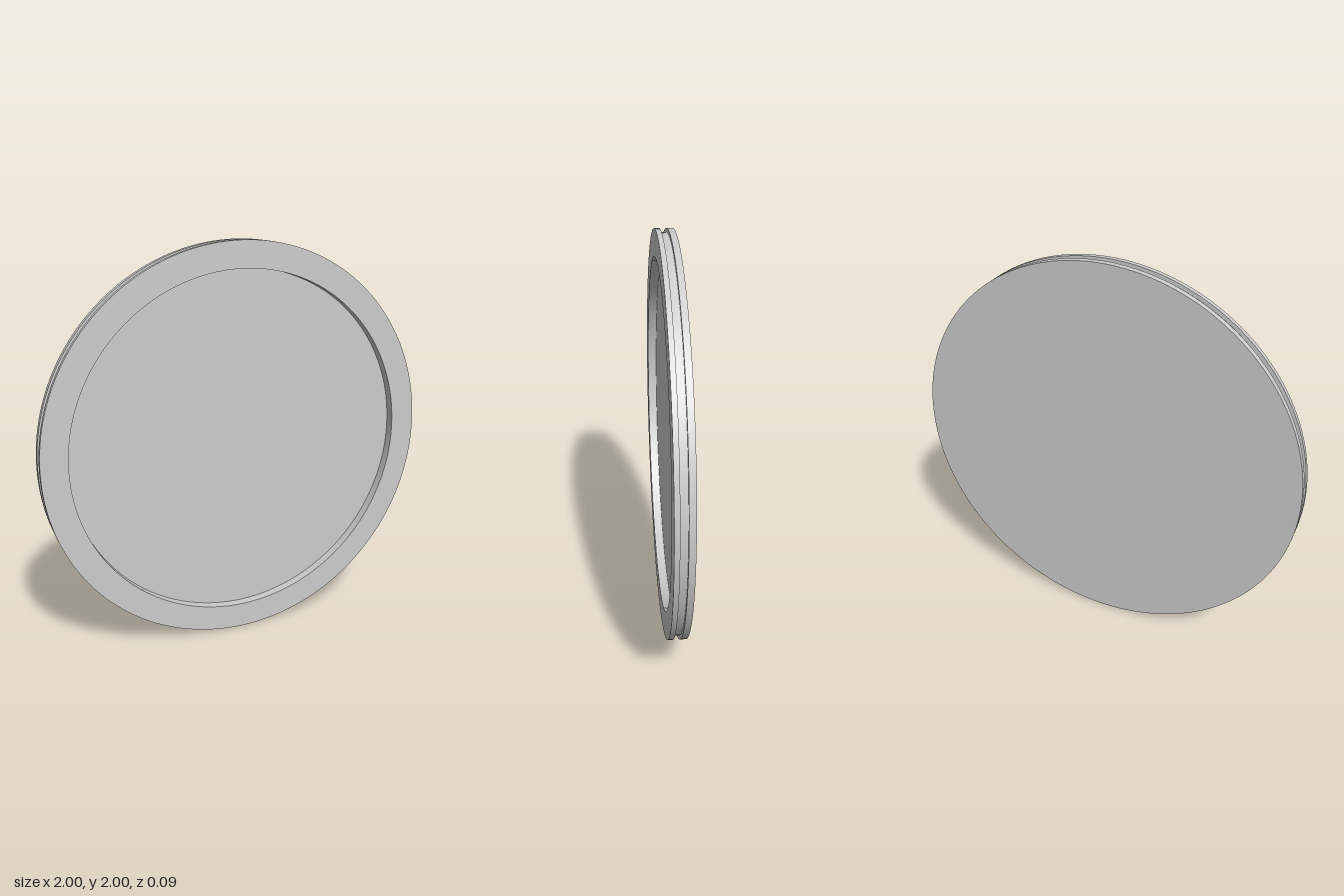
import * as THREE from 'three';
import { toCreasedNormals } from 'three/addons/utils/BufferGeometryUtils.js';

export function createModel() {
  const model = new THREE.Group();
  model.name = 'groovedDisc';

  // Radius / depth profile, from the centre of the back, round the rim, to the recess floor
  const back = -0.044, front = 0.044, floor = -0.003;
  const grooveBack = -0.014, grooveFront = 0.02, grooveRadius = 0.982;
  const recessRadius = 0.87;
  const profile = [
    [0, back], [1, back],
    [1, grooveBack], [grooveRadius, grooveBack],
    [grooveRadius, grooveFront], [1, grooveFront],
    [1, front], [recessRadius, front],
    [recessRadius, floor], [0, floor],
  ].map(([r, z]) => new THREE.Vector2(r, z));

  // Turned disc with a groove round the edge and a shallow recess in the front
  const geometry = toCreasedNormals(new THREE.LatheGeometry(profile, 160), Math.PI / 6);
  geometry.rotateX(Math.PI / 2);
  const disc = new THREE.Mesh(geometry, new THREE.MeshStandardMaterial({ color: 0xcccccc }));
  disc.name = 'disc';
  disc.position.y = 1;
  model.add(disc);

  return model;
}
